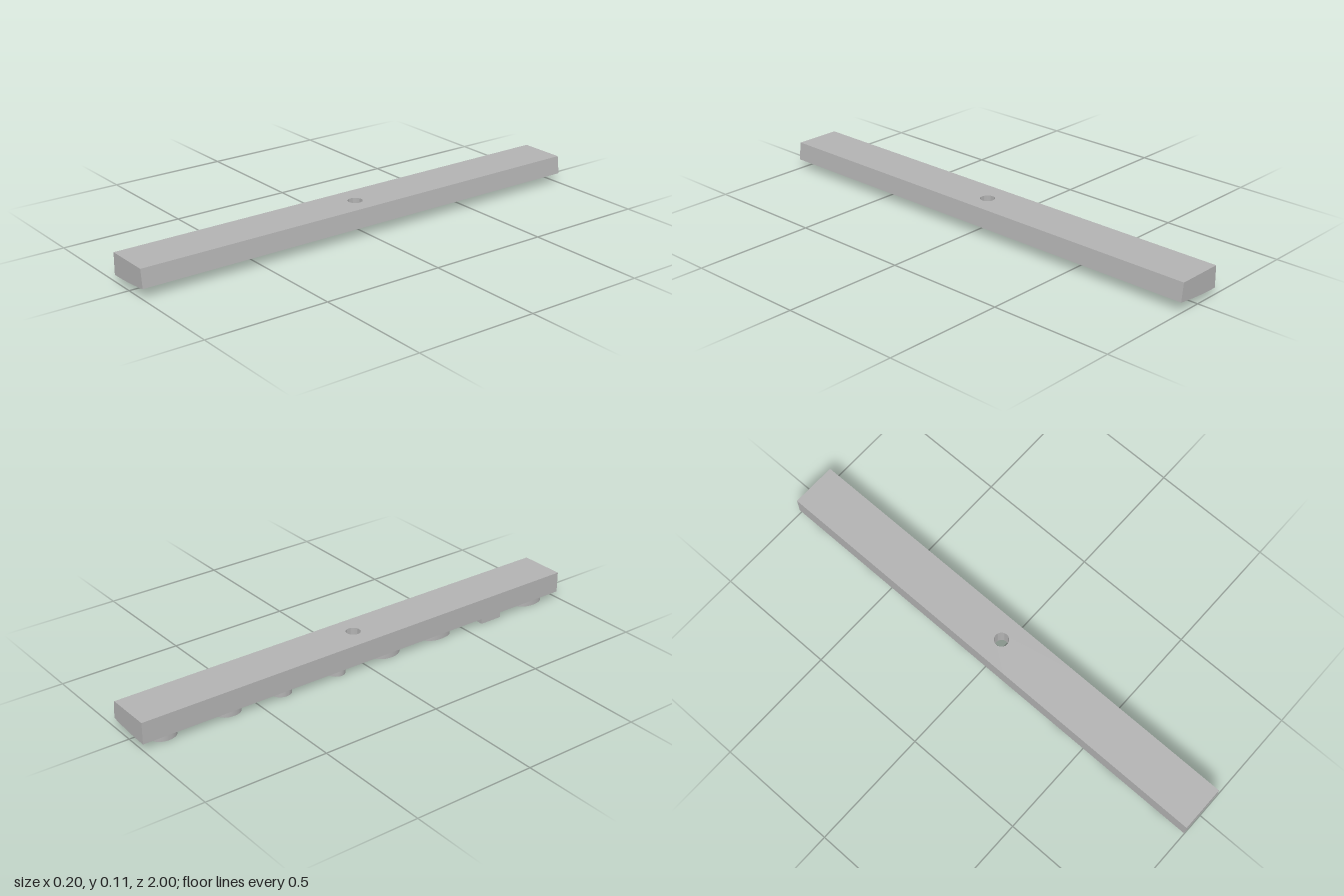
import * as THREE from 'three';
import { toCreasedNormals } from 'three/addons/utils/BufferGeometryUtils.js';

const HALF_WIDTH = 0.1, HALF_LENGTH = 1, TOP = 0.115, HOLE = 0.029;

// gently curved underside height across the bar
const underside = (x) => 0.028 + 0.014 * Math.pow((x + 0.1) / 0.2, 2);

// bar lofted as a closed loop of rings: top, sloped sides, curved underside, hole wall
function barGeometry() {
  const n = 64, steps = 8, rings = [];
  const ring = (t, isTop) => {
    const points = [];
    for (let i = 0; i < n; i++) {
      const a = (i / n) * Math.PI * 2;
      const c = Math.cos(a), s = Math.sin(a);
      const k = 1 / Math.max(Math.abs(c), Math.abs(s));
      const edgeX = isTop ? c * k * 0.095 - 0.005 : c * k * HALF_WIDTH;
      const x = THREE.MathUtils.lerp(c * HOLE, edgeX, t);
      const z = THREE.MathUtils.lerp(s * HOLE, s * k * HALF_LENGTH, t);
      points.push([x, isTop ? TOP : underside(x), z]);
    }
    return points;
  };
  rings.push(ring(0, true), ring(1, true));
  for (let j = steps; j >= 0; j--) rings.push(ring(j / steps, false));

  const index = [];
  for (let r = 0; r < rings.length; r++) {
    const q = (r + 1) % rings.length;
    for (let i = 0; i < n; i++) {
      const m = (i + 1) % n;
      index.push(r * n + i, r * n + m, q * n + i);
      index.push(q * n + i, r * n + m, q * n + m);
    }
  }
  const geometry = new THREE.BufferGeometry();
  geometry.setAttribute('position', new THREE.Float32BufferAttribute(rings.flat(2), 3));
  geometry.setIndex(index);
  return toCreasedNormals(geometry, 0.5);
}

// raised pad whose face follows the curved underside
function padGeometry(base, x, z, width, length) {
  base.scale(width, 1, length).translate(x, 0, z);
  const p = base.attributes.position;
  for (let i = 0; i < p.count; i++) {
    p.setY(i, underside(p.getX(i)) + (p.getY(i) > 0 ? 0.004 : -0.027));
  }
  return toCreasedNormals(base, 0.5);
}

export function createModel() {
  const model = new THREE.Group();
  const grey = new THREE.MeshStandardMaterial({ color: 0xb2b2b2 });
  grey.name = 'plain grey';

  const add = (name, geometry) => {
    const mesh = new THREE.Mesh(geometry, grey);
    mesh.name = name;
    model.add(mesh);
  };

  add('bar', barGeometry());

  // round pads along the underside: x, z, width, length
  const pads = [
    [-0.058, 0.875, 0.068, 0.13],
    [-0.058, 0.375, 0.068, 0.13],
    [-0.046, 0.12, 0.092, 0.13],
    [-0.046, -0.125, 0.092, 0.08],
    [-0.058, -0.38, 0.068, 0.08],
    [-0.058, -0.615, 0.068, 0.1],
    [-0.058, -0.89, 0.068, 0.1],
  ];
  for (const pad of pads) {
    add('roundPad', padGeometry(new THREE.CylinderGeometry(0.5, 0.5, 1, 32), ...pad));
  }

  // wider rectangular pad
  add('squarePad', padGeometry(new THREE.BoxGeometry(1, 1, 1, 4, 1, 1), -0.034, 0.637, 0.117, 0.1));

  return model;
}
